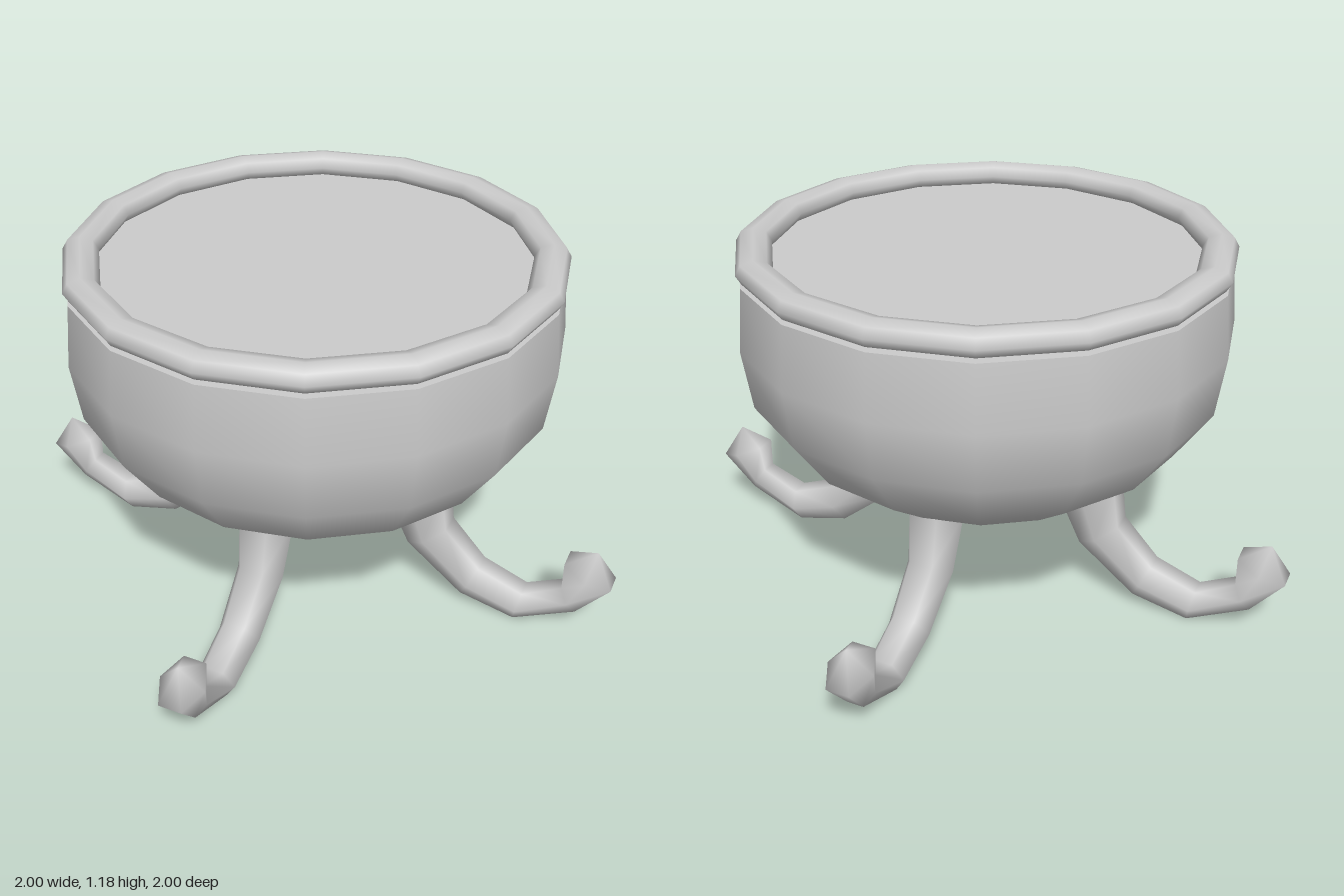
import * as THREE from 'three';

const material = new THREE.MeshStandardMaterial({ color: 0xcccccc });
const SIDES = 16;

function part(name, geometry) {
  const mesh = new THREE.Mesh(geometry, material);
  mesh.name = name;
  return mesh;
}

// Curled six-sided leg: each ring spans a lower and an upper outline point
// [lowerX, lowerY, upperX, upperY, half width in z, z offset]
function legGeometry() {
  const rings = [
    [0.23, 0.43, 0.44, 0.49, 0.09, 0],
    [0.26, 0.385, 0.45, 0.44, 0.088, 0],
    [0.345, 0.2, 0.47, 0.285, 0.076, 0],
    [0.53, 0.05, 0.585, 0.165, 0.068, 0],
    [0.71, 0.005, 0.73, 0.11, 0.064, -0.003],
    [0.9, 0.09, 0.85, 0.168, 0.052, -0.01],
    [1.0, 0.21, 0.85, 0.265, 0.072, -0.018],
  ];
  const n = 6;
  const positions = [];
  const index = [];
  for (const [lx, ly, ux, uy, b, z] of rings) {
    for (let j = 0; j < n; j++) {
      const t = (j / n) * Math.PI * 2;
      const s = Math.sin(t) / Math.sin(Math.PI / 3) / 2;
      positions.push(
        (lx + ux) / 2 + (ux - lx) * s,
        (ly + uy) / 2 + (uy - ly) * s,
        z + b * Math.cos(t)
      );
    }
  }
  for (let i = 0; i < rings.length - 1; i++) {
    for (let j = 0; j < n; j++) {
      const a = i * n + j;
      const b = i * n + ((j + 1) % n);
      index.push(a, a + n, b, b, a + n, b + n);
    }
  }
  // pointed toe
  const apex = positions.length / 3;
  positions.push(0.942, 0.315, -0.018);
  const last = (rings.length - 1) * n;
  for (let j = 0; j < n; j++) index.push(last + j, apex, last + ((j + 1) % n));

  const geometry = new THREE.BufferGeometry();
  geometry.setAttribute('position', new THREE.Float32BufferAttribute(positions, 3));
  geometry.setIndex(index);
  geometry.computeVertexNormals();
  return geometry;
}

export function createModel() {
  const model = new THREE.Group();
  model.name = 'footedCauldron';

  // Rounded bowl
  const profile = [
    [0, 0.352], [0.22, 0.373], [0.45, 0.44], [0.62, 0.565],
    [0.73, 0.725], [0.756, 0.91], [0.738, 1.105],
  ].map(([x, y]) => new THREE.Vector2(x, y));
  model.add(part('bowl', new THREE.LatheGeometry(profile, SIDES)));

  // Flat surface inside the rim
  const surface = part('fillSurface', new THREE.CircleGeometry(0.738, SIDES));
  surface.rotation.x = -Math.PI / 2;
  surface.position.y = 1.105;
  model.add(surface);

  // Rolled rim, slightly flattened
  const rimGeometry = new THREE.TorusGeometry(0.695, 0.054, 8, SIDES);
  rimGeometry.rotateX(-Math.PI / 2);
  rimGeometry.scale(1, 0.72, 1);
  const rim = part('rim', rimGeometry);
  rim.position.y = 1.145;
  model.add(rim);

  // Four legs turned around the bowl
  const geometry = legGeometry();
  for (let i = 0; i < 4; i++) {
    const leg = part('leg' + (i + 1), geometry);
    leg.rotation.y = (i * Math.PI) / 2;
    model.add(leg);
  }
  return model;
}
